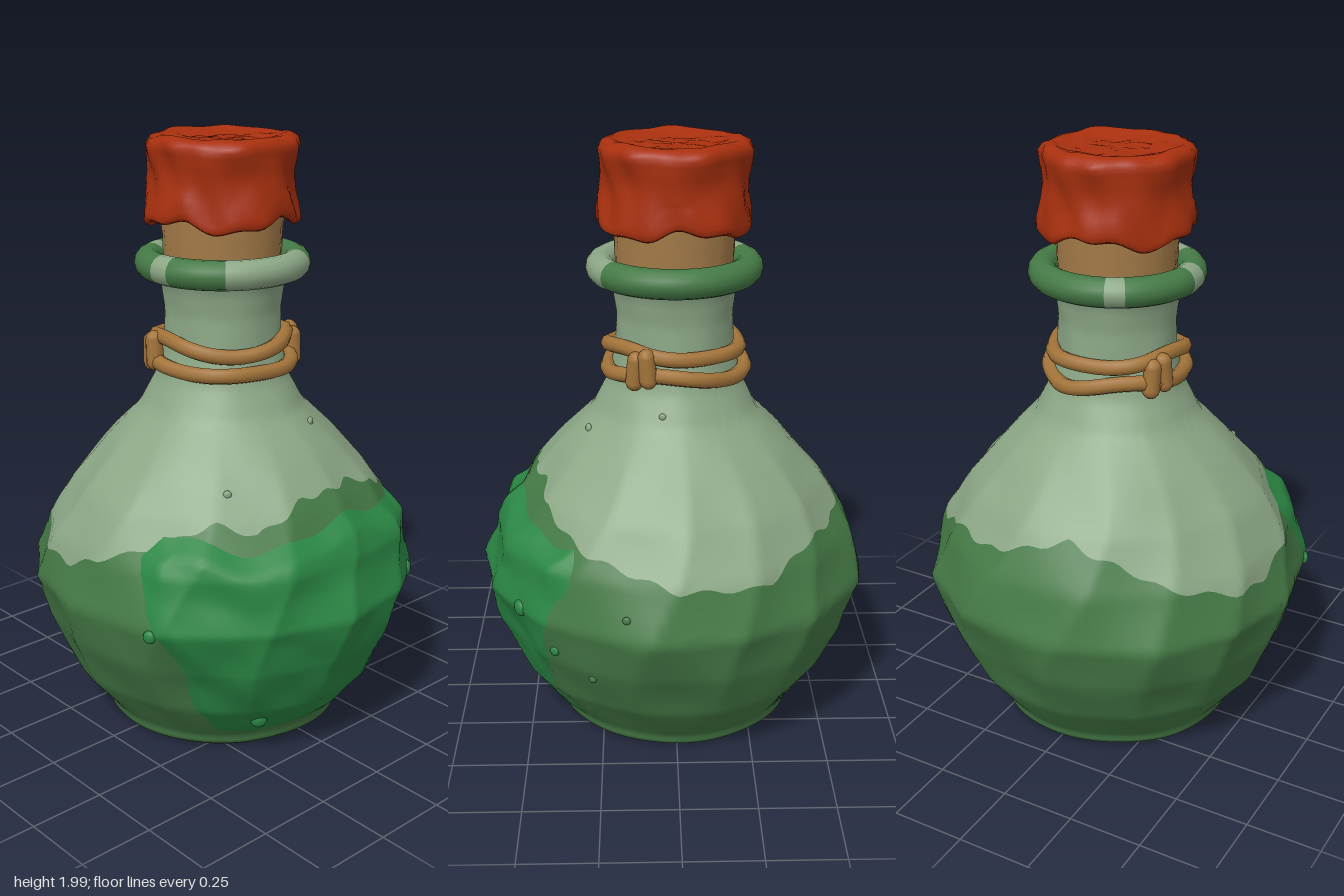
import * as THREE from 'three';

const mat = (name, color, extra = {}) => Object.assign(new THREE.MeshStandardMaterial({ color, ...extra }), { name });
const RAD = Math.PI / 180;

// piecewise-linear lookup in a list of [key, value]
function lerpTable(table, k) {
  for (let i = 1; i < table.length; i++) {
    if (k <= table[i][0]) {
      const [a, va] = table[i - 1], [b, vb] = table[i];
      return va + (vb - va) * Math.max(0, (k - a) / (b - a));
    }
  }
  return table[table.length - 1][1];
}

// surface from fn(u, v) -> [azimuth, radius, y]; azimuth 0 faces +z and grows toward +x
function sweep(fn, nu, nv, closed = true) {
  const pos = [], index = [], w = closed ? nu : nu + 1;
  for (let j = 0; j <= nv; j++) {
    for (let i = 0; i < w; i++) {
      const [a, r, y] = fn(i / nu, j / nv);
      pos.push(r * Math.sin(a), y, r * Math.cos(a));
    }
  }
  for (let j = 0; j < nv; j++) {
    for (let i = 0; i < nu; i++) {
      const a = j * w + i, b = j * w + (i + 1) % w;
      index.push(a, b, b + w, a, b + w, a + w);
    }
  }
  const g = new THREE.BufferGeometry();
  g.setAttribute('position', new THREE.Float32BufferAttribute(pos, 3));
  g.setIndex(index);
  g.computeVertexNormals();
  return g;
}

const wobble = (a, y, s = 0) =>
  (Math.sin(3 * a + 7 * y + s) + Math.sin(5 * a - 11 * y + 2 * s) + 0.8 * Math.sin(8 * a + 17 * y + s)) / 2.8;

// bottle outline: height, radius
const PROFILE = [[0, 0.385], [0.012, 0.405], [0.045, 0.412], [0.2, 0.535], [0.37, 0.615], [0.53, 0.662], [0.7, 0.605],
  [0.85, 0.51], [0.98, 0.395], [1.1, 0.275], [1.2, 0.222], [1.3, 0.198], [1.42, 0.193], [1.5, 0.203], [1.56, 0.225]];
// height where the tinted glass gives way to pale glass, by azimuth in degrees
const TINT = [[-180, 0.81], [-168, 0.84], [-150, 0.78], [-135, 0.71], [-112, 0.65], [-98, 0.64], [-85, 0.7], [-65, 0.77],
  [-45, 0.85], [-30, 0.81], [-10, 0.89], [22, 0.89], [40, 0.83], [55, 0.78], [70, 0.74], [90, 0.69], [120, 0.68],
  [140, 0.76], [158, 0.75], [180, 0.81]];
const wrapDeg = a => ((a / RAD + 540) % 360) - 180;
const tintLine = a => lerpTable(TINT, wrapDeg(a)) + 0.008 * Math.sin(23 * a);

// thirteen-sided belly, rounder toward the foot and neck
function glassRadius(a, y) {
  const step = 2 * Math.PI / 13;
  let t = (a + 0.15 * Math.sin(5 * y) + 0.06 * Math.sin(3 * a)) / step;
  t = (t - Math.floor(t) - 0.5) * step;
  const belly = THREE.MathUtils.smoothstep(y, 0.03, 0.3) * (1 - THREE.MathUtils.smoothstep(y, 0.8, 1.2));
  const facet = 1 + belly * (Math.cos(step / 2) / Math.cos(t) - 1);
  return lerpTable(PROFILE, y) * facet + wobble(a, y) * (0.004 + 0.007 * belly);
}

export function createModel() {
  const tinted = mat('tinted glass', 0x457a46);
  const pale = mat('pale glass', 0x8ca786);
  const liquid = mat('bright liquid', 0x2a8644, { side: THREE.DoubleSide });
  const wax = mat('red wax', 0xa8300e);
  const corkMat = mat('cork', 0xa57c49);
  const ropeMat = mat('rope', 0xa3743a);

  const model = new THREE.Group();
  const add = (name, geo, material, parent = model) => {
    const m = new THREE.Mesh(geo, material);
    m.name = name;
    parent.add(m);
    return m;
  };

  // glass body, split along the tint line
  add('lowerGlass', sweep((u, v) => {
    const a = u * 2 * Math.PI, y = v * v * 0.3 * tintLine(a) + v * 0.7 * tintLine(a);
    return [a, glassRadius(a, y), y];
  }, 156, 40), tinted);
  add('upperGlass', sweep((u, v) => {
    const a = u * 2 * Math.PI, y = THREE.MathUtils.lerp(tintLine(a), 1.56, v);
    return [a, glassRadius(a, y), y];
  }, 156, 40), pale);
  add('base', sweep((u, v) => {
    const a = u * 2 * Math.PI;
    return [a, v * glassRadius(a, 0), 0];
  }, 156, 1), tinted);

  // bright front patch, raised slightly with a lumpy upper ledge
  const leftEdge = [[0.05, -50], [0.2, -53], [0.5, -62], [0.72, -72], [0.85, -60]];
  const rightEdge = [[0.05, 46], [0.2, 43], [0.45, 49], [0.65, 58], [0.85, 53]];
  add('liquidPatch', sweep((u, v) => {
    let y = 0.05 + v * 0.75;
    const a = RAD * (THREE.MathUtils.lerp(lerpTable(leftEdge, y), lerpTable(rightEdge, y), u) + 1.5 * Math.sin(19 * y));
    y += v * (0.025 * Math.sin(5 * a + 1) + 0.012 * Math.sin(13 * a));
    const edge = Math.min(1, 14 * Math.min(u, 1 - u, v, 1 - v));
    const ledge = 0.022 * THREE.MathUtils.smoothstep(v, 0.75, 0.93);
    return [a, glassRadius(a, y) - 0.006 + edge * (0.014 + ledge + 0.006 * wobble(2 * a, 2 * y, 1)), y];
  }, 84, 60, false), liquid);

  // small bubbles: azimuth, height, size, material
  const bubbles = [[37, 0.53, 0.028, liquid], [-28, 0.15, 0.03, liquid], [-62, 0.52, 0.022, liquid], [50, 0.42, 0.018, liquid],
    [75, 0.6, 0.014, tinted], [62, 0.34, 0.014, tinted], [-40, 0.92, 0.014, pale], [25, 1.06, 0.016, pale], [80, 1.14, 0.012, pale]];
  for (const [deg, y, s, m] of bubbles) {
    const a = deg * RAD, r = glassRadius(a, y);
    const b = add('bubble', new THREE.SphereGeometry(s, 10, 8), m);
    b.position.set(r * Math.sin(a), y, r * Math.cos(a));
    b.rotation.y = a;
    b.scale.z = 0.6;
  }

  // lip ring in tinted and pale arcs: start and end angle from +x toward +z
  const lip = new THREE.Group();
  lip.name = 'lip';
  model.add(lip);
  const arcs = [[55, 130, pale], [130, 170, tinted], [170, 184, pale], [184, 236, tinted], [236, 249, pale], [249, 415, tinted]];
  for (const [from, to, m] of arcs) {
    const g = new THREE.TorusGeometry(0.242, 0.048, 14, Math.ceil((to - from) / 6), (to - from) * RAD);
    g.rotateZ(from * RAD).rotateX(Math.PI / 2);
    add('lipArc', g, m, lip).position.y = 1.575;
  }

  // cork
  add('cork', sweep((u, v) => {
    const a = u * 2 * Math.PI;
    return [a, 0.19 + 0.012 * v + 0.004 * wobble(2 * a, 3 * v), 1.54 + 0.24 * v];
  }, 48, 8), corkMat);

  // wax cap: radius and height from the underside, around the rim, to the middle of the top
  const cap = [[0.18, 1.75], [0.235, 1.715], [0.252, 1.725], [0.25, 1.76], [0.238, 1.82], [0.234, 1.87], [0.242, 1.92],
    [0.248, 1.955], [0.235, 1.978], [0.205, 1.988], [0.18, 1.98], [0.12, 1.968], [0.06, 1.972], [0.001, 1.97]];
  add('waxCap', sweep((u, v) => {
    const a = u * 2 * Math.PI, k = Math.round(v * 26) / 2;
    const [r0, y0] = cap[Math.floor(k)], [r1, y1] = cap[Math.ceil(k)];
    const r = (r0 + r1) / 2, y = (y0 + y1) / 2;
    const drip = y < 1.8 ? 0.016 * Math.sin(4 * a + 1) + 0.009 * Math.sin(9 * a) : 0.006 * wobble(a, 4 * r);
    return [a, r * (1 + 0.04 * wobble(a, 2 * y, 2) + 0.015 * Math.sin(13 * a + 20 * y)), y + drip * Math.min(1, r / 0.1)];
  }, 80, 26), wax);

  // rope: two strands that part and meet, tied by a knot on each side
  const rope = new THREE.Group();
  rope.name = 'rope';
  model.add(rope);
  const knotAngle = 62 * RAD;
  for (const side of [1, -1]) {
    const pts = [];
    for (let i = 0; i < 40; i++) {
      const a = i / 40 * 2 * Math.PI;
      const y = 1.285 + side * (0.036 + 0.008 * Math.sin(3 * a)) + 0.012 * Math.cos(2 * (a - knotAngle));
      const r = (side > 0 ? 0.214 : 0.225) + 0.006 * Math.sin(5 * a + side);
      pts.push(new THREE.Vector3(r * Math.sin(a), y, r * Math.cos(a)));
    }
    add('ropeStrand', new THREE.TubeGeometry(new THREE.CatmullRomCurve3(pts, true), 80, 0.026, 8, true), ropeMat, rope);

    const knot = new THREE.Group();
    knot.name = 'knot';
    const a = knotAngle + (side < 0 ? Math.PI : 0);
    knot.position.set(0.228 * Math.sin(a), 1.285, 0.228 * Math.cos(a));
    knot.rotation.y = a;
    for (const x of [-0.022, 0.022]) {
      const strand = add('knotLoop', new THREE.CapsuleGeometry(0.029, 0.075, 4, 10), ropeMat, knot);
      strand.position.set(x, x * 0.3, 0.008);
      strand.rotation.z = x * 4;
    }
    rope.add(knot);
  }
  return model;
}
